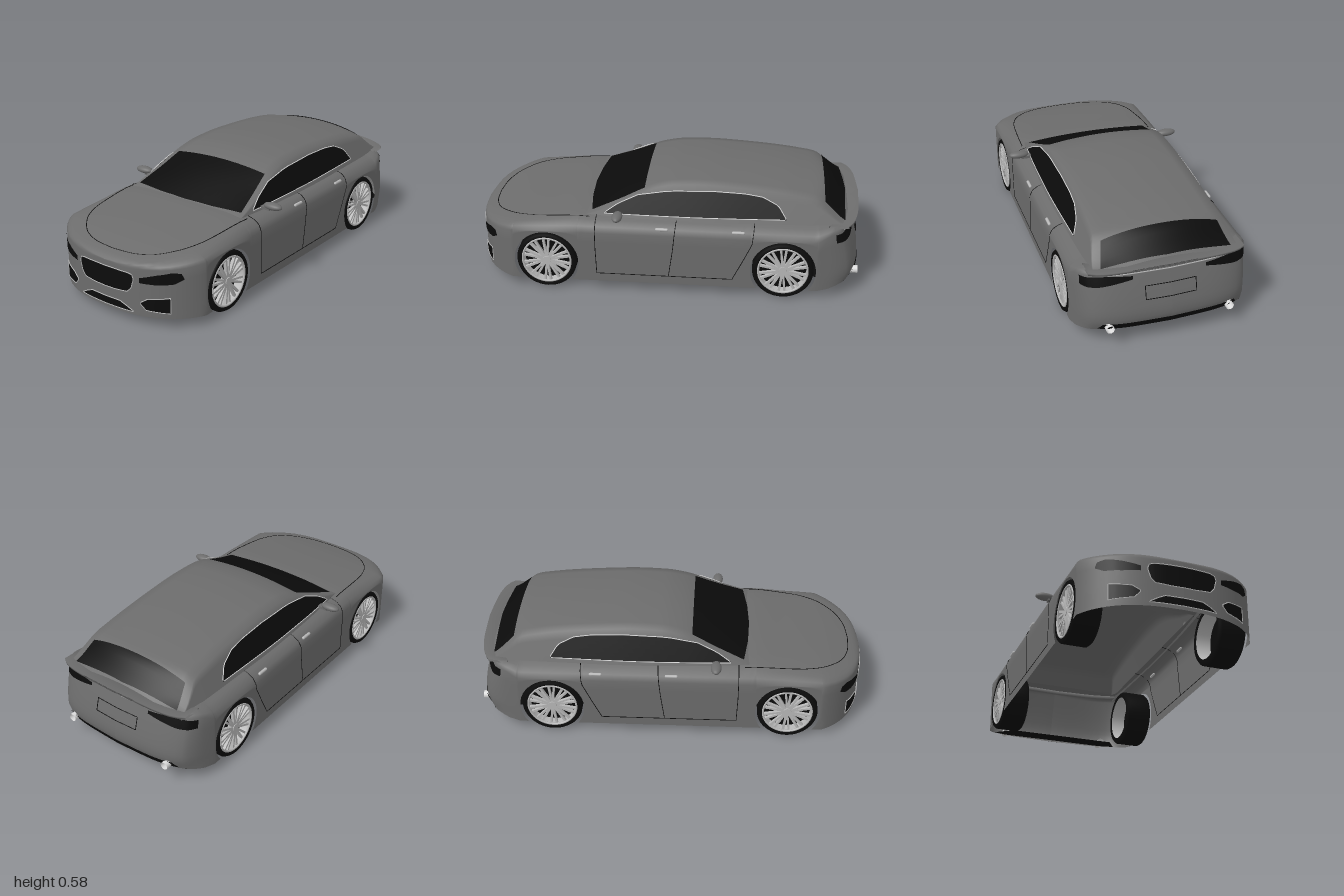
import * as THREE from 'three';

const clamp = (v) => Math.min(1, Math.max(0, v));
const mat = (name, color, side = THREE.DoubleSide) => {
  const m = new THREE.MeshStandardMaterial({ color, side });
  m.name = name;
  return m;
};

// Smooth monotone curve through [t, value] pairs
function curve(p) {
  const d = p.slice(1).map((q, i) => (q[1] - p[i][1]) / (q[0] - p[i][0]));
  const m = p.map((_, i) => i === 0 ? d[0] : i === d.length ? d[i - 1]
    : d[i - 1] * d[i] > 0 ? 2 * d[i - 1] * d[i] / (d[i - 1] + d[i]) : 0);
  return (t) => {
    t = Math.min(p[p.length - 1][0], Math.max(p[0][0], t));
    let i = 0;
    while (i < p.length - 2 && t > p[i + 1][0]) i++;
    const h = p[i + 1][0] - p[i][0], s = (t - p[i][0]) / h, r = 1 - s;
    return (1 + 2 * s) * r * r * p[i][1] + s * r * r * h * m[i]
      + s * s * (3 - 2 * s) * p[i + 1][1] - s * s * r * h * m[i + 1];
  };
}

// Surface through rows of [x, y, z] points
function grid(rows, skip = () => false) {
  const n = rows[0].length, index = [];
  for (let i = 0; i < rows.length - 1; i++) for (let j = 0; j < n - 1; j++) {
    if (skip(i, j)) continue;
    const a = i * n + j, b = a + n;
    index.push(a, b, b + 1, a, b + 1, a + 1);
  }
  const g = new THREE.BufferGeometry();
  g.setAttribute('position', new THREE.Float32BufferAttribute(rows.flat(2), 3));
  g.setIndex(index);
  g.computeVertexNormals();
  return g;
}
const mirrorRow = (half) => [...half, ...half.slice(0, -1).reverse().map(([x, y, z]) => [-x, y, z])];

// Plan outline, heights and section rules of the body
const frontZ = curve([[0, .998], [.1, .993], [.2, .975], [.3, .935], [.37, .88], [.41, .835], [.44, .785]]);
const rearZ = curve([[0, -.998], [.2, -.988], [.3, -.972], [.38, -.935], [.42, -.86], [.44, -.78]]);
const shoulder = curve([[-1, .375], [-.85, .36], [-.75, .325], [.75, .325], [.9, .305], [.97, .295], [.998, .28]]);
const deck = curve([[-1, .392], [-.9, .4], [.36, .403], [.42, .405], [.6, .388], [.8, .36], [.9, .338], [.97, .318], [.998, .298]]);
const sill = curve([[-1, .092], [-.95, .085], [-.78, .05], [1, .05]]);
const rearLean = curve([[.09, .02], [.14, 0], [.2, .005], [.3, .03], [.4, .06]]);
const lean = (y, z) => z < -.8 ? rearLean(y) * clamp((-z - .8) / .15) : 0;
const CX = [1, .97, .9, .8, .6, .3, 0], CY = [0, .4, .7, .85, .94, .99, 1];
const crownY = curve(CX.map((x, i) => [x, CY[i]]).reverse());
const crownX = curve(CY.map((y, i) => [y, CX[i]]));
const ARCH = { y: .152, r: .166, z: [.605, -.605] };

function halfWidth(z) {
  if (z < .785) return .44;
  let a = 0, b = .44;
  for (let k = 0; k < 30; k++) { const m = (a + b) / 2; if (frontZ(m) > z) a = m; else b = m; }
  return a;
}
const hoodY = (x, z) => shoulder(z) + (deck(z) - shoulder(z)) * crownY(Math.min(1, Math.abs(x) / halfWidth(z)));
const bodyX = (y, z) => .44 * crownX(clamp((y - shoulder(z)) / (deck(z) - shoulder(z))));

function bodyGeometry() {
  const xs = [0, .05, .1, .15, .2, .25, .3, .34, .37, .39, .41, .425, .44];
  const st = xs.map((x) => ({ x, z: frontZ(x) }));
  const arch = (c) => {
    st.push({ x: .44, z: c + ARCH.r, c, s: 1 });
    for (let k = 0; k <= 20; k++) {
      const a = Math.PI * k / 20;
      st.push({ x: .44, z: c + ARCH.r * Math.cos(a), b: ARCH.y + ARCH.r * Math.sin(a) });
    }
    st.push({ x: .44, z: c - ARCH.r, c, s: -1 });
  };
  arch(ARCH.z[0]);
  [.42, .4, .36, .3, .2, .1, 0, -.1, -.2, -.3, -.4].forEach((z) => st.push({ x: .44, z }));
  arch(ARCH.z[1]);
  xs.slice().reverse().forEach((x) => st.push({ x, z: rearZ(x) }));
  const rows = st.map(({ x, z, b = sill(z), c, s }) => {
    const S = shoulder(z), H = deck(z);
    const half = [0, .1, .2, .3, .4, .6, .8, 1].map((t) => {
      const y = b + (S - b) * t;
      const zz = s && y < ARCH.y ? c + s * Math.sqrt(ARCH.r ** 2 - (y - ARCH.y) ** 2) : z;
      return [x, y, zz + lean(y, z)];
    });
    for (let k = 1; k < 7; k++) {
      const y = S + (H - S) * CY[k];
      half.push([x * CX[k], y, z + lean(y, z)]);
    }
    return mirrorRow(half);
  });
  // Open under the cabin and at the wheel arch edges
  return grid(rows, (i, j) => Math.abs(st[i].z - st[i + 1].z) < 1e-6
    || (j >= 10 && j < 16 && st[i].z < .37 && st[i + 1].z > -.88));
}

// Cabin rules
const roof = curve([[-.96, .395], [-.93, .415], [-.8, .522], [-.7, .54], [-.6, .553], [-.4, .569], [-.2, .578],
  [-.05, .573], [.05, .556], [.17, .513], [.3, .455], [.41, .402], [.46, .38]]);
const taper = curve([[-.95, .02], [-.6, .008], [-.2, 0], [.1, .005], [.41, .02]]);
const cabinX = (y, z) => .372 - (y - .4) * .44 - taper(z);
const cabinY = (x, z) => {
  const h = roof(z * (1 + .5 * x * x));
  return h - .022 * (x / .3) ** 2 * clamp((h - .39) / .1);
};
function cabinGeometry() {
  const rows = [];
  for (let k = 0; k <= 56; k++) {
    const z = .43 - 1.355 * k / 56;
    let e = .5;
    for (let q = 0; q < 8; q++) e = cabinY(cabinX(e, z), z);
    const xr = cabinX(e, z), half = [];
    for (let q = 0; q <= 4; q++) { const y = .375 + (e - .375) * q / 4; half.push([cabinX(y, z), y, z]); }
    for (let q = 1; q <= 6; q++) { const x = xr * (1 - q / 6); half.push([x, cabinY(x, z), z]); }
    rows.push(mirrorRow(half));
  }
  return grid(rows);
}

// Thin patch between two 2D edges, laid onto a surface by project(a, b)
const sample = (p, u) => {
  const t = u * (p.length - 1), i = Math.min(p.length - 2, Math.floor(t)), f = t - i;
  return [0, 1].map((k) => p[i][k] * (1 - f) + p[i + 1][k] * f);
};
function patchRows(lower, upper, project, n = 28, m = 6) {
  return Array.from({ length: n + 1 }, (_, i) => {
    const a = sample(lower, i / n), b = sample(upper, i / n);
    return Array.from({ length: m + 1 }, (_, j) => project(a[0] + (b[0] - a[0]) * j / m, a[1] + (b[1] - a[1]) * j / m));
  });
}
const tube = (pts, r, closed = false) => new THREE.TubeGeometry(
  new THREE.CatmullRomCurve3(pts.map((p) => new THREE.Vector3(...p)), closed, 'catmullrom', .1), pts.length * 2, r, 5, closed);
const border = (rows, r) => tube([...rows.map((q) => q[0]), ...rows.map((q) => q[q.length - 1]).reverse()], r, true);
const onFront = (x, y) => [x, y, frontZ(Math.abs(x)) + .004];
const onRear = (x, y) => { const z = rearZ(Math.abs(x)); return [x, y, z + lean(y, z) - .004]; };
const onCabinSide = (z, y) => [cabinX(y, z) + .004, y, z];
const onTop = (x, z) => [x, cabinY(x, z) + .004, z];
const onDoor = (z, y) => [bodyX(y, z), y, z];
const symmetric = (p) => [...p, ...p.slice().reverse().map(([x, y]) => [-x, y])];

export function createModel() {
  const paint = mat('body grey', 0x6c6c6c), black = mat('black', 0x0b0b0b);
  const silver = mat('wheel silver', 0xb8b8b8), chrome = mat('chrome', 0xdcdcdc);
  const car = new THREE.Group(), left = new THREE.Group();
  car.name = 'car';
  left.name = 'leftSide';
  const add = (parent, name, geometry, material, pos = [0, 0, 0]) => {
    const m = new THREE.Mesh(geometry, material);
    m.name = name;
    m.position.set(...pos);
    parent.add(m);
    return m;
  };
  const patch = (parent, name, lower, upper, project, trim) => {
    const rows = patchRows(lower, upper, project);
    add(parent, name, grid(rows), black);
    if (trim) add(parent, name + 'Trim', border(rows, .0025), trim);
  };

  add(car, 'body', bodyGeometry(), paint);
  add(car, 'cabin', cabinGeometry(), paint);

  // Windscreen and rear glass
  patch(car, 'windscreen', [[-.335, .375], [-.17, .397], [0, .405], [.17, .397], [.335, .375]],
    [[-.285, .11], [.285, .11]], onTop);
  patch(car, 'rearGlass', [[-.29, -.802], [.29, -.802]], [[-.322, -.905], [0, -.92], [.322, -.905]], onTop);

  // Front openings
  patch(car, 'grille', symmetric([[-.17, .235], [-.157, .19], [-.135, .167], [-.06, .161]]),
    symmetric([[-.17, .24], [-.163, .26], [-.14, .266], [-.06, .268]]), onFront, silver);
  patch(car, 'lowerIntake', [[-.165, .067], [.165, .067]],
    symmetric([[-.165, .07], [-.125, .092], [-.09, .107]]), onFront, silver);
  patch(left, 'headlight', [[.2, .225], [.28, .225], [.35, .232], [.383, .255]],
    [[.2, .25], [.28, .275], [.345, .291], [.375, .285], [.383, .262]], onFront);
  patch(left, 'sideVent', [[.205, .115], [.23, .088], [.335, .08]],
    [[.205, .125], [.24, .148], [.335, .16]], onFront, silver);

  // Rear lamps, plate frame, diffuser and exhausts
  patch(left, 'rearLamp', [[.412, .315], [.35, .315], [.18, .345]], [[.412, .36], [.3, .368], [.18, .36]], onRear);
  patch(car, 'diffuser', [[.35, .093], [-.35, .093]], [[.33, .13], [-.33, .13]], onRear);
  const plate = patchRows([[.125, .24], [-.125, .24]], [[.125, .305], [-.125, .305]], onRear);
  add(car, 'plateFrame', border(plate, .002), black);
  add(car, 'rearTrim', tube(Array.from({ length: 25 }, (_, i) => onRear(-.36 + i * .03, .372)), .003), silver);
  const exhaust = new THREE.CylinderGeometry(.02, .02, .07, 20, 1, true).rotateX(Math.PI / 2);
  add(left, 'exhaust', exhaust, chrome, [.3, .11, -.955]);
  const under = [-1, -.5, 0, .5, 1].map((u) => [[u * .3, .052, -.76], [u * .38, .085, -.92], [u * .3, .092, -.955]]);
  add(car, 'rearUnderside', grid(under), black);

  // Tail spoiler
  const spoiler = Array.from({ length: 25 }, (_, i) => {
    const x = .385 * (1 - i / 12), z = rearZ(Math.abs(x)), y = .42 - .02 * (x / .385) ** 2;
    return [[x, .38, z + .1], [x, y - .012, z + .012], [x, y, z + .01], [x, .395, z + .11], [x, .38, z + .1]];
  });
  add(car, 'spoiler', grid(spoiler), paint);

  // Side window with bright surround
  patch(left, 'sideWindow', [[.31, .402], [-.15, .404], [-.61, .408]],
    [[.31, .405], [.24, .452], [.14, .497], [-.02, .522], [-.24, .529], [-.4, .523], [-.49, .51], [-.57, .472], [-.61, .412]],
    onCabinSide, chrome);

  // Door seams and handles
  const seam = (name, pts) => add(left, name, tube(Array.from({ length: 25 }, (_, i) => onDoor(...sample(pts, i / 24))), .002), black);
  seam('frontDoorSeam', [[.35, .39], [.35, .24], [.345, .095]]);
  seam('middleDoorSeam', [[-.06, .39], [-.045, .24], [-.025, .095]]);
  seam('rearDoorSeam', [[-.455, .39], [-.445, .3], [-.4, .2], [-.35, .095]]);
  seam('doorBottomSeam', [[.345, .095], [-.35, .095]]);
  for (const z of [.01, -.375])
    add(left, 'doorHandle', new THREE.CapsuleGeometry(.008, .05, 4, 10).rotateX(Math.PI / 2), silver, [bodyX(.357, z) + .002, .357, z]);

  // Hood seam
  const hood = curve([[0, .935], [.1, .927], [.2, .895], [.3, .805], [.35, .69], [.37, .5], [.375, .38]]);
  const hoodLine = Array.from({ length: 61 }, (_, i) => {
    const x = .375 * Math.sin((i / 30 - 1) * Math.PI / 2), z = hood(Math.abs(x));
    return [x, hoodY(x, z), z];
  });
  add(car, 'hoodSeam', tube(hoodLine, .002), black);

  // Door mirror
  add(left, 'mirror', new THREE.SphereGeometry(1, 24, 14).scale(.053, .019, .027), paint, [.427, .418, .235]);
  add(left, 'mirrorStalk', new THREE.BoxGeometry(.06, .014, .03), paint, [.385, .402, .235]);

  // Wheels
  const tyreProfile = [[.122, .3], [.145, .3], [.155, .312], [.155, .428], [.147, .44], [.128, .436]]
    .map(([r, x]) => new THREE.Vector2(r, x));
  const sideways = (g) => g.rotateZ(-Math.PI / 2);
  for (const z of ARCH.z) {
    const wheel = new THREE.Group();
    wheel.name = z > 0 ? 'frontWheel' : 'rearWheel';
    wheel.position.set(0, .155, z);
    left.add(wheel);
    add(wheel, 'tyre', sideways(new THREE.LatheGeometry(tyreProfile, 48)), black);
    add(wheel, 'rimBarrel', sideways(new THREE.CylinderGeometry(.123, .123, .13, 40, 1, true)), silver, [.367, 0, 0]);
    add(wheel, 'rimLip', new THREE.TorusGeometry(.125, .006, 8, 48).rotateY(Math.PI / 2), silver, [.434, 0, 0]);
    add(wheel, 'brakeDisc', sideways(new THREE.CylinderGeometry(.121, .121, .01, 40)), black, [.385, 0, 0]);
    add(wheel, 'hub', sideways(new THREE.CylinderGeometry(.02, .028, .03, 20)), silver, [.42, 0, 0]);
    for (let k = 0; k < 20; k++) {
      const a = (Math.floor(k / 2) + (k % 2 ? .19 : -.19)) * Math.PI / 5;
      const bar = new THREE.BoxGeometry(.016, .105, .011).translate(0, .072, 0).rotateX(a);
      add(wheel, 'spoke', bar, silver, [.424, 0, 0]);
    }
  }

  // Right side as a mirror image
  const right = left.clone();
  right.name = 'rightSide';
  right.scale.x = -1;
  car.add(left, right);
  return car;
}
